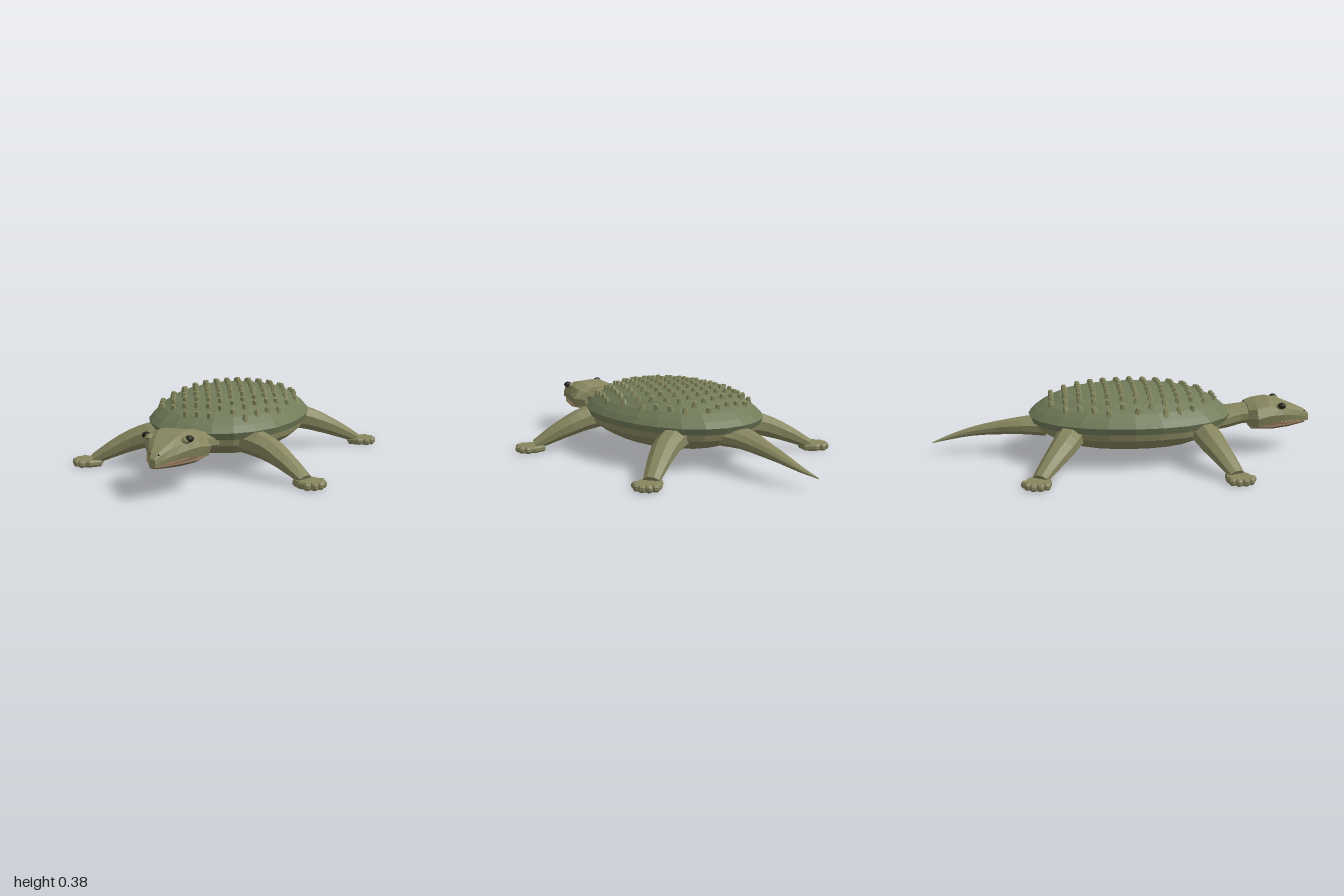
import * as THREE from 'three';

const mat = (color) => new THREE.MeshStandardMaterial({ color, flatShading: true });
const shellMat = mat(0x727c5a), skin = mat(0x87865f), stud = mat(0x86895f);
const jawMat = mat(0x7d6a50), pink = mat(0xc89a7c), dark = mat(0x25251c);

const add = (parent, name, geo, material, x = 0, y = 0, z = 0) => {
  const m = new THREE.Mesh(geo, material);
  m.name = name;
  m.position.set(x, y, z);
  parent.add(m);
  return m;
};

// Closed skin over a list of rings (arrays of Vector3), turned outward by its signed volume
function loft(rings) {
  const n = rings[0].length, tris = [];
  const center = (r) => r.reduce((a, p) => a.add(p), new THREE.Vector3()).divideScalar(n);
  const first = center(rings[0]), last = center(rings[rings.length - 1]);
  for (let j = 0; j < n; j++) {
    const k = (j + 1) % n;
    for (let i = 0; i < rings.length - 1; i++) {
      const a = rings[i], b = rings[i + 1];
      tris.push([a[j], a[k], b[k]], [a[j], b[k], b[j]]);
    }
    tris.push([first, rings[0][k], rings[0][j]]);
    tris.push([last, rings[rings.length - 1][j], rings[rings.length - 1][k]]);
  }
  const volume = tris.reduce((s, [a, b, c]) => s + a.dot(b.clone().cross(c)), 0);
  const pts = tris.flatMap(([a, b, c]) => (volume > 0 ? [a, b, c] : [a, c, b]));
  const g = new THREE.BufferGeometry().setFromPoints(pts);
  g.computeVertexNormals();
  return g;
}

// Elliptical limb along a smooth path; each row is x, y, z, half width, half height
function limb(rows, sides, steps) {
  const path = new THREE.CatmullRomCurve3(rows.map((r) => new THREE.Vector3(r[0], r[1], r[2])));
  const rings = [];
  for (let i = 0; i <= steps; i++) {
    const t = i / steps, f = t * (rows.length - 1);
    const k = Math.min(Math.floor(f), rows.length - 2);
    const size = (c) => THREE.MathUtils.lerp(rows[k][c], rows[k + 1][c], f - k);
    const p = path.getPoint(t), dir = path.getTangent(t);
    const side = new THREE.Vector3(0, 1, 0).cross(dir).normalize();
    const up = dir.clone().cross(side);
    rings.push(Array.from({ length: sides }, (_, j) => {
      const a = ((j + 0.5) / sides) * Math.PI * 2;
      return p.clone().addScaledVector(side, Math.cos(a) * size(3)).addScaledVector(up, Math.sin(a) * size(4));
    }));
  }
  return loft(rings);
}

// Plan outline of the shell and body
const RX = 0.385, RZ = 0.53, CZ = 0.04, POW = 2.2;
const outline = (scale, y, n = 24) => Array.from({ length: n }, (_, i) => {
  const a = (i / n) * Math.PI * 2, c = Math.cos(a), s = Math.sin(a);
  const r = scale * (Math.abs(c) ** POW + Math.abs(s) ** POW) ** (-1 / POW);
  return new THREE.Vector3(RX * c * r, y, CZ + RZ * s * r);
});

// Shell profile: fraction of the outline, height
const dome = [[1, 0.22], [0.94, 0.25], [0.85, 0.284], [0.7, 0.32], [0.5, 0.343], [0.25, 0.354], [0.03, 0.357]];
const domeHeight = (u) => {
  for (let i = 1; i < dome.length; i++) {
    const [u0, y0] = dome[i - 1], [u1, y1] = dome[i];
    if (u >= u1) return y0 + ((y1 - y0) * (u - u0)) / (u1 - u0);
  }
  return 0.357;
};

function buildStuds(root) {
  const group = new THREE.Group();
  group.name = 'shellStuds';
  const geo = new THREE.CylinderGeometry(0.011, 0.021, 0.042, 6);
  for (let row = 0; row < 13; row++) {
    const z = -0.37 + row * 0.0708;
    for (let col = -6; col <= 6; col++) {
      const x = (col + (row % 2 ? 0.45 : 0)) * 0.063;
      const u = (Math.abs(x / RX) ** POW + Math.abs((z - CZ) / RZ) ** POW) ** (1 / POW);
      if (u > 0.87) continue;
      const m = add(group, 'stud', geo, stud, x, domeHeight(u) - 0.001, z);
      m.rotation.set(((z - CZ) / RZ) * 0.25, row + col, (-x / RX) * 0.25);
    }
  }
  root.add(group);
}

// Flat paw with five scalloped toes along its outer edge
function pawGeometry() {
  const s = new THREE.Shape();
  s.moveTo(-0.07, -0.035);
  s.lineTo(-0.02, -0.058);
  for (let i = 0; i <= 20; i++) {
    const a = -1.45 + (i / 20) * 2.9;
    const r = i % 4 === 0 ? 0.052 : i % 4 === 2 ? 0.07 : 0.066;
    s.lineTo(r * Math.cos(a), r * Math.sin(a) * 1.03);
  }
  s.lineTo(-0.02, 0.058);
  s.lineTo(-0.07, 0.035);
  const g = new THREE.ExtrudeGeometry(s, {
    depth: 0.015, bevelEnabled: true, bevelThickness: 0.009, bevelSize: 0.006, bevelSegments: 1,
  });
  return g.rotateX(-Math.PI / 2).translate(0, 0.009, 0);
}

function buildLegs(root) {
  const paw = pawGeometry();
  for (const s of [1, -1]) {
    for (const front of [true, false]) {
      const zs = front ? [0.38, 0.41, 0.435, 0.475, 0.515] : [-0.25, -0.285, -0.325, -0.38, -0.435];
      const rows = [
        [0.18, 0.165, 0.07, 0.06], [0.29, 0.155, 0.072, 0.063], [0.38, 0.125, 0.066, 0.055],
        [0.47, 0.08, 0.055, 0.042], [0.555, 0.03, 0.042, 0.026],
      ].map(([x, y, w, h], i) => [s * x, y, zs[i], w, h]);
      const leg = new THREE.Group();
      leg.name = (front ? 'front' : 'back') + (s > 0 ? 'LeftLeg' : 'RightLeg');
      add(leg, 'limb', limb(rows, 8, 8), skin);
      const foot = add(leg, 'foot', paw, skin, s * 0.585, 0, front ? 0.525 : -0.447);
      const turn = front ? -0.35 : 0.35;
      foot.rotation.y = s > 0 ? turn : Math.PI - turn;
      root.add(leg);
    }
  }
}

function buildHead(root) {
  const head = new THREE.Group();
  head.name = 'head';
  // z, half width, crown half width, top, bottom
  const section = ([z, w, crown, top, bottom]) => {
    const mid = bottom + (top - bottom) * 0.4;
    const half = [[crown, top], [(crown + w) * 0.56, top - (top - mid) * 0.35], [w, mid], [w * 0.9, bottom]];
    return [...half, ...half.map(([x, y]) => [-x, y]).reverse()].map(([x, y]) => new THREE.Vector3(x, y, z));
  };
  add(head, 'skull', loft([
    [0.66, 0.115, 0.06, 0.255, 0.15], [0.7, 0.16, 0.065, 0.268, 0.152], [0.77, 0.14, 0.065, 0.279, 0.165],
    [0.84, 0.112, 0.055, 0.266, 0.17], [0.92, 0.062, 0.03, 0.236, 0.164], [0.975, 0.03, 0.017, 0.213, 0.157],
    [1, 0.015, 0.01, 0.192, 0.152],
  ].map(section)), skin);
  add(head, 'mouth', loft([
    [0.68, 0.115, 0.1, 0.17, 0.147], [0.78, 0.11, 0.1, 0.172, 0.148],
    [0.88, 0.072, 0.065, 0.17, 0.149], [0.97, 0.018, 0.014, 0.16, 0.15],
  ].map(section)), pink);
  add(head, 'lowerJaw', loft([
    [0.67, 0.125, 0.12, 0.152, 0.14], [0.78, 0.122, 0.115, 0.152, 0.135],
    [0.88, 0.08, 0.075, 0.152, 0.137], [0.98, 0.017, 0.014, 0.153, 0.143],
  ].map(section)), jawMat);
  for (const s of [1, -1]) {
    const socket = add(head, 'eyeSocket', new THREE.SphereGeometry(0.028, 10, 6), skin, s * 0.092, 0.25, 0.83);
    socket.scale.set(0.9, 0.6, 1.1);
    const eye = add(head, 'eye', new THREE.SphereGeometry(0.021, 10, 8), dark, s * 0.107, 0.257, 0.832);
    eye.scale.y = 0.75;
    add(head, 'nostril', new THREE.SphereGeometry(0.005, 6, 4), dark, s * 0.02, 0.207, 0.975);
  }
  root.add(head);
}

export function createModel() {
  const root = new THREE.Group();
  root.name = 'shelledReptile';

  // Domed shell with a short rim, and the body below it
  add(root, 'shell', loft([outline(0.97, 0.186), ...dome.map(([u, y]) => outline(u, y))]), shellMat);
  add(root, 'body', loft([
    outline(0.4, 0.075), outline(0.66, 0.083), outline(0.8, 0.112), outline(0.92, 0.15), outline(0.94, 0.2),
  ]), skin);
  buildStuds(root);

  // Neck and tapering, slightly bent tail
  add(root, 'neck', limb([
    [0, 0.17, 0.42, 0.15, 0.06], [0, 0.18, 0.54, 0.12, 0.056], [0, 0.195, 0.62, 0.1, 0.052], [0, 0.205, 0.72, 0.1, 0.052],
  ], 10, 6), skin);
  add(root, 'tail', limb([
    [0, 0.155, -0.4, 0.11, 0.055], [0.005, 0.152, -0.52, 0.08, 0.046], [0.025, 0.137, -0.65, 0.052, 0.037],
    [0.04, 0.115, -0.79, 0.035, 0.024], [0.04, 0.085, -0.91, 0.02, 0.012], [0.025, 0.06, -1, 0.002, 0.002],
  ], 10, 10), skin);

  buildLegs(root);
  buildHead(root);
  return root;
}
